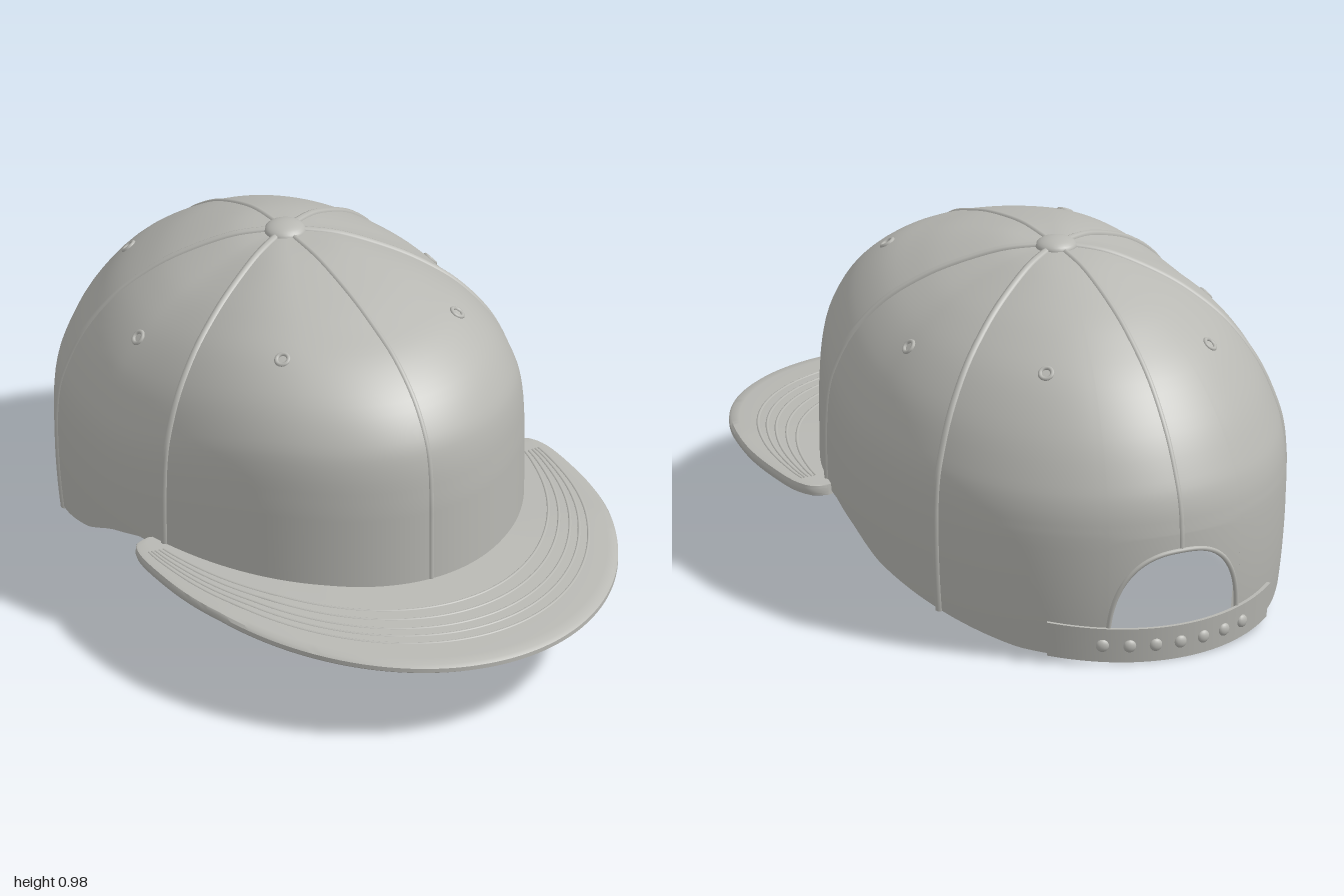
import * as THREE from 'three';
import { mergeVertices, toCreasedNormals } from 'three/addons/utils/BufferGeometryUtils.js';

const V = (x, y, z) => new THREE.Vector3(x, y, z);
const CZ = -0.26, RX = 0.585; // crown centre and half width
const ARCH = 0.2; // half width of the back opening

// Crown heights over the shared radius fractions, for front, side and back
const U = [0, 0.1, 0.25, 0.45, 0.6, 0.75, 0.88, 0.96, 0.99, 1];
const profile = (ys) => new THREE.CatmullRomCurve3(ys.map((y, i) => V(U[i], y, 0)), false, 'catmullrom');
const front = profile([0.957, 0.96, 0.957, 0.93, 0.897, 0.852, 0.778, 0.69, 0.61, 0.5]);
const side = profile([0.957, 0.953, 0.933, 0.882, 0.83, 0.755, 0.655, 0.545, 0.47, 0.38]);
const back = profile([0.957, 0.955, 0.938, 0.885, 0.825, 0.742, 0.625, 0.51, 0.44, 0.37]);

// Point in the crown's plan: t = 0 is the front, t = PI the back
const plan = (t, u, y) => V(RX * Math.sin(t) * u, y, CZ + (Math.cos(t) > 0 ? 0.815 : 0.74) * Math.cos(t) * u);
const weight = (t) => THREE.MathUtils.smoothstep(Math.abs(Math.cos(t)), 0, 0.85);

// Dome, s from 0 at the button to 1 at the widest line
function dome(t, s) {
  const a = side.getPoint(s), b = (Math.cos(t) > 0 ? front : back).getPoint(s);
  return plan(t, a.x, THREE.MathUtils.lerp(a.y, b.y, weight(t)));
}
// Wall below the widest line, drawn in slightly toward the hem
function wall(t, y, scale = 1) {
  const d = Math.max(0, dome(t, 1).y - y);
  const k = THREE.MathUtils.lerp(0.4, Math.cos(t) > 0 ? 0 : 0.33, weight(t));
  return plan(t, (1 - k * d * d) * scale, y);
}
// Hem height, dropping toward the back
const HEM = [[-1, 0.008], [-0.8, 0.035], [-0.56, 0.1], [-0.32, 0.165], [-0.19, 0.222], [-0.06, 0.258], [0.05, 0.262], [1, 0.262]];
function hem(t) {
  const z = plan(t, 1, 0).z;
  const i = Math.max(1, HEM.findIndex((p) => p[0] >= z));
  return THREE.MathUtils.mapLinear(z, HEM[i - 1][0], HEM[i][0], HEM[i - 1][1], HEM[i][1]);
}

// Surface through rings of points; closed rings become a solid with end caps
function loft(rings, solid = false) {
  const n = rings[0].length, m = rings.length, pts = rings.flat(), idx = [];
  for (let i = 0; i < m - 1; i++) for (let j = 0; j < (solid ? n : n - 1); j++) {
    const k = (j + 1) % n, a = i * n + j, b = a + n, c = (i + 1) * n + k, d = i * n + k;
    idx.push(a, b, d, b, c, d);
  }
  if (solid) {
    for (const [r, flip] of [[0, false], [m - 1, true]]) {
      const centre = rings[r].reduce((s, p) => s.add(p), V(0, 0, 0)).divideScalar(n);
      const c = pts.push(centre) - 1;
      for (let j = 0; j < n; j++) {
        const a = r * n + j, b = r * n + (j + 1) % n;
        idx.push(c, flip ? b : a, flip ? a : b);
      }
    }
  }
  let g = new THREE.BufferGeometry().setFromPoints(pts);
  g.setIndex(idx);
  if (solid) return toCreasedNormals(g, 0.7);
  g = mergeVertices(g);
  g.computeVertexNormals();
  return g;
}

export function createModel() {
  const cap = new THREE.Group();
  cap.name = 'cap';
  const cloth = new THREE.MeshStandardMaterial({ color: 0xb8b8b3, side: THREE.DoubleSide });
  cloth.name = 'grey cloth';
  const add = (name, geometry) => {
    const mesh = new THREE.Mesh(geometry, cloth);
    mesh.name = name;
    cap.add(mesh);
    return mesh;
  };
  const tube = (name, pts, r) =>
    add(name, new THREE.TubeGeometry(new THREE.CatmullRomCurve3(pts), pts.length * 2, r, 8));

  // Columns around the crown, ending in the arched opening at the back
  const edge = Math.PI - Math.asin(ARCH / RX);
  const hemCols = [], archCols = [];
  for (let i = 0; i <= 72; i++) hemCols.push({ t: edge * i / 72, y: hem(edge * i / 72) });
  for (let i = 0; i <= 18; i++) {
    const a = (1 - i / 18) * Math.PI / 2;
    const x = ARCH * Math.sin(a) ** 0.8;
    archCols.push({ t: Math.PI - Math.asin(x / RX), y: 0.05 + 0.27 * Math.max(0, Math.cos(a)) ** 0.8 });
  }
  const around = (half) => [...half].reverse().concat(half.slice(1).map((c) => ({ t: -c.t, y: c.y })));

  // Crown
  add('crown', loft(around([...hemCols, ...archCols]).map(({ t, y }) => {
    const col = [];
    for (let j = 0; j <= 36; j++) col.push(dome(t, j / 36));
    const top = col[36].y;
    for (let j = 1; j <= 10; j++) col.push(wall(t, THREE.MathUtils.lerp(top, y, j / 10)));
    return col;
  })));

  // Sweatband inside the hem
  add('sweatband', loft(around(hemCols).map(({ t, y }) =>
    [wall(t, y + 0.165, 0.985), wall(t, y + 0.16, 0.972), wall(t, y + 0.09, 0.972), wall(t, y + 0.01, 0.975), wall(t, y, 1)])));

  // Binding around the opening
  tube('openingBinding', archCols.map((c) => wall(c.t, c.y))
    .concat(archCols.slice(0, -1).reverse().map((c) => wall(-c.t, c.y))), 0.007);

  // Six panel seams
  for (const t of [0, 1.19, 2.01, Math.PI, -2.01, -1.19]) {
    const pts = [], centre = Math.abs(Math.sin(t)) < 0.1;
    for (let j = 1; j <= 24; j++) pts.push(dome(t, j / 24));
    const top = pts[23].y, low = t === Math.PI ? 0.32 : hem(t);
    for (let j = 1; j <= 6; j++) pts.push(wall(t, THREE.MathUtils.lerp(top, low, j / 6)));
    pts.forEach((p) => { p.x *= 0.993; p.z = CZ + (p.z - CZ) * 0.993; p.y -= 0.003; });
    tube('panelSeam', pts, centre ? 0.009 : 0.012);
  }

  // Eyelets, one per panel
  for (const [t, s] of [[0.675, 0.547], [1.58, 0.572], [2.5, 0.526]]) for (const m of [1, -1]) {
    const p = dome(t * m, s), e = 0.01;
    const n = dome(t * m, s + e).sub(p).cross(dome(t * m + e, s).sub(p)).normalize();
    if (n.y < 0) n.negate();
    const ring = add('eyelet', new THREE.TorusGeometry(0.017, 0.006, 8, 20));
    ring.position.copy(p);
    ring.quaternion.setFromUnitVectors(V(0, 0, 1), n);
  }

  // Top button
  const button = add('topButton', new THREE.SphereGeometry(0.057, 28, 16));
  button.scale.y = 0.46;
  button.position.set(0, 0.955, CZ);

  // Brim: from the crown's plan out to a rounded outline
  const half = [[0.565, -0.008], [0.605, 0.002], [0.629, 0.05]];
  for (let i = 0; i <= 8; i++) {
    const a = i / 8 * Math.PI / 2;
    half.push([0.637 * Math.cos(a), 0.2 + 0.793 * Math.sin(a)]);
  }
  const outline = new THREE.CatmullRomCurve3([
    ...half.map(([x, z]) => V(-x, 0, z)),
    ...half.slice(0, -1).reverse().map(([x, z]) => V(x, 0, z))]);
  outline.arcLengthDivisions = 600;
  const brimPoint = (s, v, h) => {
    const p = plan(-1.245 + 2.49 * s, 0.985, 0).lerp(outline.getPointAt(s), v);
    p.y = 0.265 - 0.064 * Math.max(0, p.z - 0.45) + h;
    return p;
  };
  const under = [[0, -0.015], [0.3, -0.015], [0.6, -0.015], [0.9, -0.015], [0.97, -0.013], [0.995, -0.006]];
  const section = [...under, ...[...under].reverse().map(([v, h]) => [v, -h])];
  const rings = [];
  for (let i = 0; i <= 120; i++) rings.push(section.map(([v, h]) => brimPoint(i / 120, v, h)));
  add('brim', loft(rings, true));

  // Stitch rows on the brim
  for (const v of [0.32, 0.43, 0.54, 0.63, 0.72]) {
    const pts = [];
    for (let i = 0; i <= 48; i++) pts.push(brimPoint(0.04 + 0.92 * i / 48, v, 0.0125));
    tube('brimStitching', pts, 0.005);
  }

  // Back strap with a row of studs
  const strapAt = (a, h, scale) => wall(Math.PI - a, 0.055 + 0.05 * a * a + h, scale);
  const strap = [];
  for (let i = 0; i <= 32; i++) {
    const a = -0.62 + 1.24 * i / 32;
    strap.push([strapAt(a, 0.05, 1.02), strapAt(a, -0.05, 1.02), strapAt(a, -0.05, 1.003), strapAt(a, 0.05, 1.003)]);
  }
  add('backStrap', loft(strap, true));
  for (let i = -3; i <= 3; i++) {
    const a = i * 0.125;
    const stud = add('strapStud', new THREE.SphereGeometry(0.018, 14, 10));
    stud.position.copy(strapAt(a, 0, 1.02));
    stud.rotation.y = -a;
    stud.scale.z = 0.6;
  }
  return cap;
}
